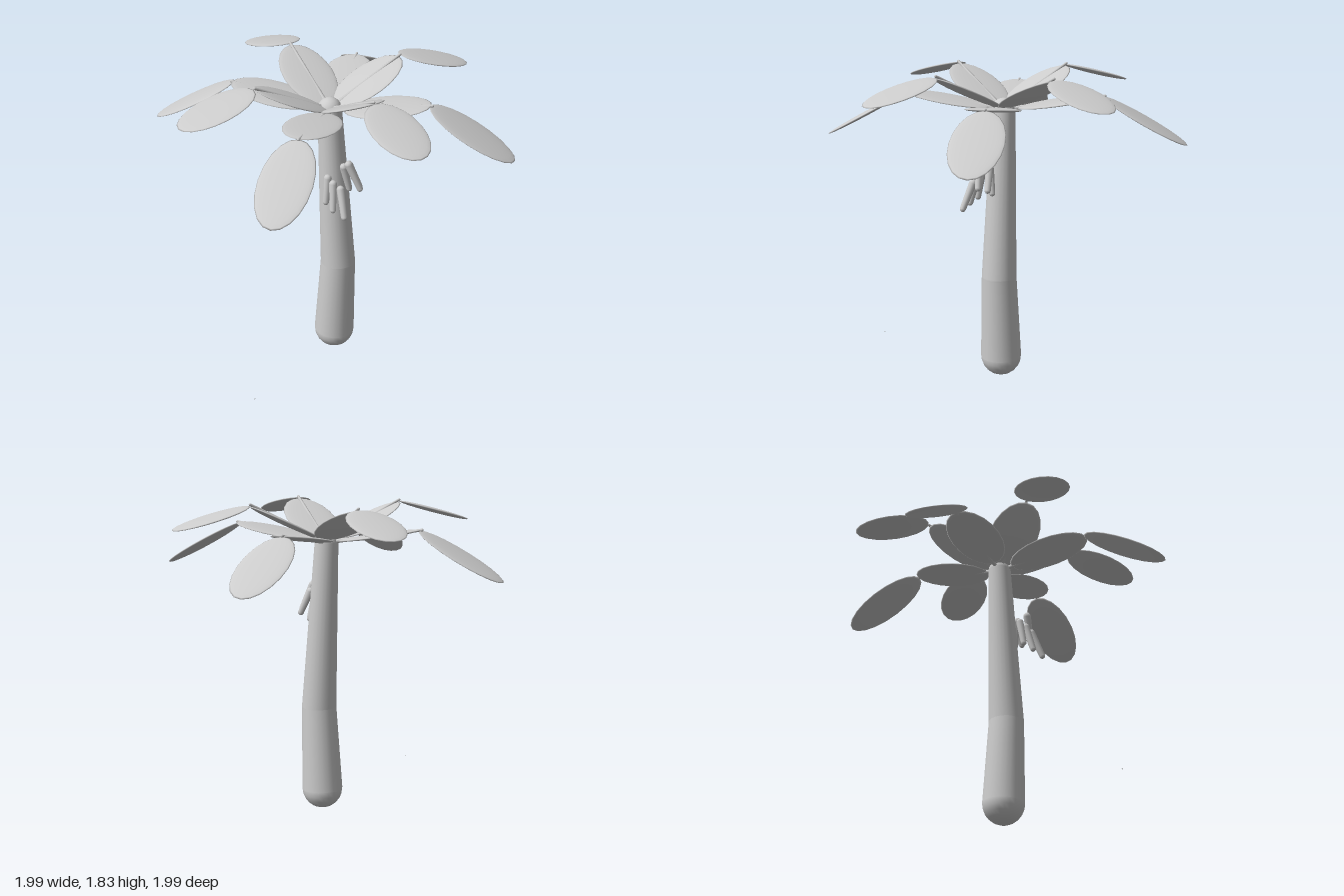
import * as THREE from 'three';

const V = (x, y, z = 0) => new THREE.Vector3(x, y, z);

export function createModel() {
  const grey = new THREE.MeshStandardMaterial({ color: 0xcccccc });
  grey.name = 'pale grey';
  const tree = new THREE.Group();
  tree.name = 'palmTree';

  const add = (parent, name, geometry) => {
    const mesh = new THREE.Mesh(geometry, grey);
    mesh.name = name;
    parent.add(mesh);
    return mesh;
  };

  const ball = (parent, name, p, r, sides = 24) =>
    add(parent, name, new THREE.SphereGeometry(r, sides, sides / 2)).position.copy(p);

  // Tapered rod between two points
  const rod = (parent, name, p, q, r1, r2, sides, open = true) => {
    const d = q.clone().sub(p);
    const mesh = add(parent, name, new THREE.CylinderGeometry(r2, r1, d.length(), sides, 1, open));
    mesh.position.copy(p).add(q).multiplyScalar(0.5);
    mesh.quaternion.setFromUnitVectors(V(0, 1), d.normalize());
  };

  // Bent trunk with rounded ends
  const trunk = new THREE.Group();
  trunk.name = 'trunk';
  const joints = [[V(0.033, 0.122), 0.12], [V(0.058, 0.62), 0.102], [V(0, 1.6), 0.068]];
  joints.forEach(([p, r], i) => {
    ball(trunk, 'trunkJoint', p, r);
    const next = joints[i + 1];
    if (next) rod(trunk, 'trunkSection', p, next[0], r, next[1], 24);
  });
  tree.add(trunk);

  // Flattened ellipsoid leaf running from (r1, y1) to (r2, y2) along the frond
  const leaf = (parent, name, r1, y1, r2, y2, halfWidth) => {
    const mesh = add(parent, name, new THREE.SphereGeometry(1, 20, 12));
    mesh.scale.set(Math.hypot(r2 - r1, y2 - y1) / 2, 0.013, halfWidth);
    mesh.position.set((r1 + r2) / 2, (y1 + y2) / 2, 0);
    mesh.rotation.z = Math.atan2(y2 - y1, r2 - r1);
  };

  // Eight fronds: four low and long, four high and short
  const kinds = [
    { name: 'lowFrond', turn: -17, joint: V(0.575, 1.695), inner: [0.08, 1.613, 0.57, 1.693], outer: [0.56, 1.69, 1.04, 1.43] },
    { name: 'highFrond', turn: 27, joint: V(0.455, 1.828), inner: [0.03, 1.615, 0.452, 1.815], outer: [0.46, 1.82, 0.9, 1.7] },
  ];
  for (const k of kinds) {
    for (let i = 0; i < 4; i++) {
      const frond = new THREE.Group();
      frond.name = k.name;
      frond.rotation.y = -THREE.MathUtils.degToRad(k.turn + i * 90);
      rod(frond, 'frondStem', V(0, 1.6), k.joint, 0.013, 0.008, 8);
      ball(frond, 'stemTip', k.joint, 0.008, 8);
      leaf(frond, 'innerLeaf', ...k.inner, 0.152);
      leaf(frond, 'outerLeaf', ...k.outer, 0.145);
      tree.add(frond);
    }
  }

  // Hanging fruit, each a slim tapered capsule
  const fruits = [
    [V(0.058, 1.23, 0.11), V(0.062, 1.09, 0.135)],
    [V(0.1, 1.21, 0.12), V(0.122, 1.065, 0.155)],
    [V(0.15, 1.19, 0.12), V(0.2, 1.045, 0.16)],
    [V(0.17, 1.33, 0.07), V(0.23, 1.185, 0.045)],
    [V(0.14, 1.3, 0.018), V(0.2, 1.17, 0.0)],
    [V(0.113, 1.28, 0.03), V(0.135, 1.14, 0.005)],
  ];
  for (const [top, bottom] of fruits) {
    const fruit = new THREE.Group();
    fruit.name = 'fruit';
    rod(fruit, 'fruitBody', top, bottom, 0.023, 0.018, 10);
    ball(fruit, 'fruitTop', top, 0.023, 10);
    ball(fruit, 'fruitTip', bottom, 0.018, 10);
    tree.add(fruit);
  }

  // Tiny speck in front of the trunk
  ball(tree, 'speck', V(0.03, 0.125, 0.825), 0.003, 8);

  return tree;
}
